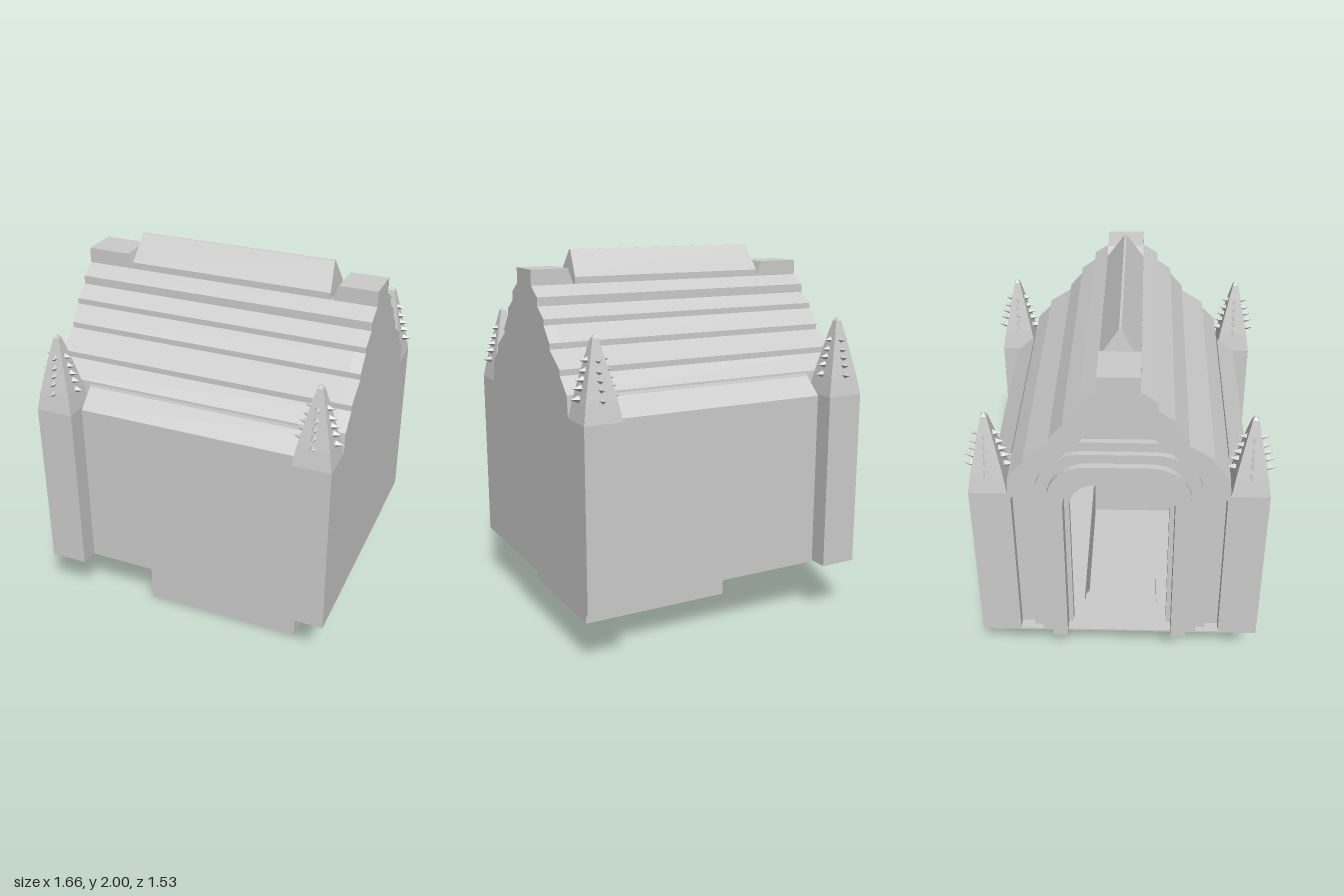
import * as THREE from 'three';

const mat = new THREE.MeshStandardMaterial({ color: 0xcccccc, flatShading: true });
const matDouble = new THREE.MeshStandardMaterial({ color: 0xcccccc, flatShading: true, side: THREE.DoubleSide });

function add(parent, name, geometry, material = mat) {
  const mesh = new THREE.Mesh(geometry, material);
  mesh.name = name;
  parent.add(mesh);
  return mesh;
}

const toShape = pts => new THREE.Shape(pts.map(p => new THREE.Vector2(p[0], p[1])));

// Symmetric outline from its right half, listed bottom to top
const mirrored = half => [...half, ...half.slice().reverse().map(([a, b]) => [-a, b])];

// Cross-section in (z, y), extruded along x from x0 to x1
function slab(shape, x0, x1) {
  return new THREE.ExtrudeGeometry(shape, { depth: x1 - x0, bevelEnabled: false, curveSegments: 8 })
    .rotateY(Math.PI / 2).translate(x0, 0, 0);
}

// Half outline of a doorway with rounded upper corners
function archHalf(w, top, r) {
  const pts = [[w, 0.3]];
  for (let i = 0; i <= 8; i++) {
    const a = (i / 8) * Math.PI / 2;
    pts.push([w - r + r * Math.cos(a), top - r + r * Math.sin(a)]);
  }
  return pts;
}

// Open-bottomed band between an outer and an inner half outline
function bandShape(outer, inner) {
  const out = mirrored(outer);
  const inn = mirrored(inner).reverse();
  return toShape([...out, ...inn]);
}

const gableHalf = [
  [0.545, 0.3], [0.545, 1.24], [0.535, 1.35], [0.455, 1.43], [0.455, 1.46],
  [0.33, 1.54], [0.33, 1.57], [0.26, 1.65], [0.26, 1.68], [0.18, 1.735],
  [0.18, 1.78], [0.1, 1.83]
];
const hollowHalf = [[0.53, 0.3], [0.53, 1.21], [0.002, 1.74]];

function pier() {
  const g = new THREE.Group();
  g.name = 'cornerPier';
  // Square shaft with a slightly bulging spire
  const profile = [[0, 0.3], [0.1, 0.3], [0.1, 1.24], [0.082, 1.34], [0.062, 1.43],
    [0.037, 1.54], [0.015, 1.63], [0, 1.65]];
  const body = new THREE.LatheGeometry(
    profile.map(([r, y]) => new THREE.Vector2(r * Math.SQRT2, y)), 4)
    .rotateY(Math.PI / 4).scale(1, 1, 0.95);
  add(g, 'pierShaftAndSpire', body);
  // Pointed studs climbing each spire face
  const studs = [[1.35, 0.125], [1.4, 0.112], [1.44, 0.1], [1.48, 0.087], [1.53, 0.074]];
  for (let k = 0; k < 4; k++) {
    for (const [y, reach] of studs) {
      const geo = new THREE.OctahedronGeometry(1)
        .scale(0.04, 0.018, 0.016).translate(reach - 0.04, y, 0).rotateY(k * Math.PI / 2);
      add(g, 'spireStud', geo);
    }
  }
  return g;
}

export function createModel() {
  const root = new THREE.Group();
  root.name = 'chapel';

  // Hollow body with stepped roof, closed at the +x end
  add(root, 'wallsAndSteppedRoof', slab(bandShape(gableHalf, hollowHalf), -0.8, 0.74));
  add(root, 'endGable', slab(toShape(mirrored(gableHalf)), 0.74, 0.8));

  // Long side walls between the piers, with the sloping eave on top
  for (const s of [-1, 1]) {
    const pts = [[0.54, 0.3], [0.645, 0.3], [0.645, 1.235], [0.545, 1.325], [0.54, 1.34]]
      .map(([a, b]) => [a * s, b]);
    add(root, 'sideWall', slab(toShape(pts), -0.59, 0.59));
  }

  // Corner piers
  for (const x of [-0.7, 0.7]) for (const z of [-0.64, 0.64]) {
    const p = pier();
    p.position.set(x, 0, z);
    root.add(p);
  }

  // Ridge: an end block at each gable and a long prism between them
  for (const s of [-1, 1]) {
    const inTop = s < 0 ? 0.57 : 0.6, inLow = s < 0 ? 0.54 : 0.565;
    const block = toShape([[0.8 * s, 1.82], [0.8 * s, 1.91], [inTop * s, 1.91], [inLow * s, 1.82]]);
    add(root, 'ridgeBlock',
      new THREE.ExtrudeGeometry(block, { depth: 0.2, bevelEnabled: false }).translate(0, 0, -0.1));
  }
  const ridge = slab(toShape([[-0.1, 1.825], [0.1, 1.825], [0.1, 1.865], [0.006, 2], [-0.006, 2], [-0.1, 1.865]]), -0.54, 0.56);
  const rp = ridge.attributes.position;
  for (let i = 0; i < rp.count; i++) {
    if (rp.getY(i) > 1.9) rp.setX(i, rp.getX(i) < 0 ? -0.525 : 0.545);
  }
  add(root, 'ridgeCap', ridge);

  // Recessed door gable with nested doorway mouldings
  const opening = archHalf(0.25, 1.25, 0.13);
  add(root, 'recessedDoorWall', slab(bandShape(hollowHalf, opening), -0.74, -0.69));
  const mouldings = [
    [0.46, 1.53, 0.26, 0.4, 1.47, 0.23, -0.77],
    [0.41, 1.48, 0.235, 0.345, 1.42, 0.19, -0.8],
    [0.353, 1.43, 0.2, 0.275, 1.34, 0.15, -0.835]
  ];
  for (const [w, t, r, wi, ti, ri, x] of mouldings) {
    add(root, 'doorMoulding', slab(bandShape(archHalf(w, t, r), archHalf(wi, ti, ri)), x, -0.735));
  }

  // Floor with an opening over the stair and crypt
  const floor = toShape([[-0.8, -0.53], [0.74, -0.53], [0.74, 0.53], [-0.8, 0.53]]);
  floor.holes.push(new THREE.Path([
    [-0.58, -0.2], [0.58, -0.2], [0.58, 0.525], [-0.29, 0.525], [-0.29, 0.2], [-0.58, 0.2]
  ].map(p => new THREE.Vector2(p[0], p[1]))));
  add(root, 'floor', new THREE.ExtrudeGeometry(floor, { depth: 0.01, bevelEnabled: false })
    .rotateX(Math.PI / 2).translate(0, 0.31, 0));

  // Sunken crypt: thin walls and floor, open towards the stair
  const panel = (name, w, h, x, y, z, turn) => {
    const m = add(root, name, new THREE.PlaneGeometry(w, h), matDouble);
    m.position.set(x, y, z);
    if (turn === 'flat') m.rotation.x = -Math.PI / 2;
    if (turn === 'side') m.rotation.y = Math.PI / 2;
  };
  panel('cryptFloor', 0.87, 0.73, 0.145, 0.002, 0.165, 'flat');
  panel('cryptBackWall', 0.87, 0.3, 0.145, 0.15, -0.2);
  panel('cryptFrontWall', 0.87, 0.3, 0.145, 0.15, 0.53);
  panel('cryptEndWall', 0.73, 0.3, 0.58, 0.15, 0.165, 'side');
  panel('cryptStairWall', 0.33, 0.3, -0.29, 0.15, 0.365, 'side');

  // Stair down from the doorway: treads, risers and cheeks
  const steps = [[-0.58, -0.47, 0.25, 0.3], [-0.47, -0.375, 0.17, 0.25], [-0.375, -0.29, 0.085, 0.17]];
  for (const [x0, x1, y, above] of steps) {
    panel('stairTread', x1 - x0, 0.4, (x0 + x1) / 2, y, 0, 'flat');
    panel('stairRiser', 0.4, above - y, x0, (y + above) / 2, 0, 'side');
    for (const z of [-0.2, 0.2]) panel('stairCheek', x1 - x0, 0.3 - y, (x0 + x1) / 2, (0.3 + y) / 2, z);
  }
  panel('stairRiser', 0.4, 0.085, -0.29, 0.0425, 0, 'side');

  return root;
}
